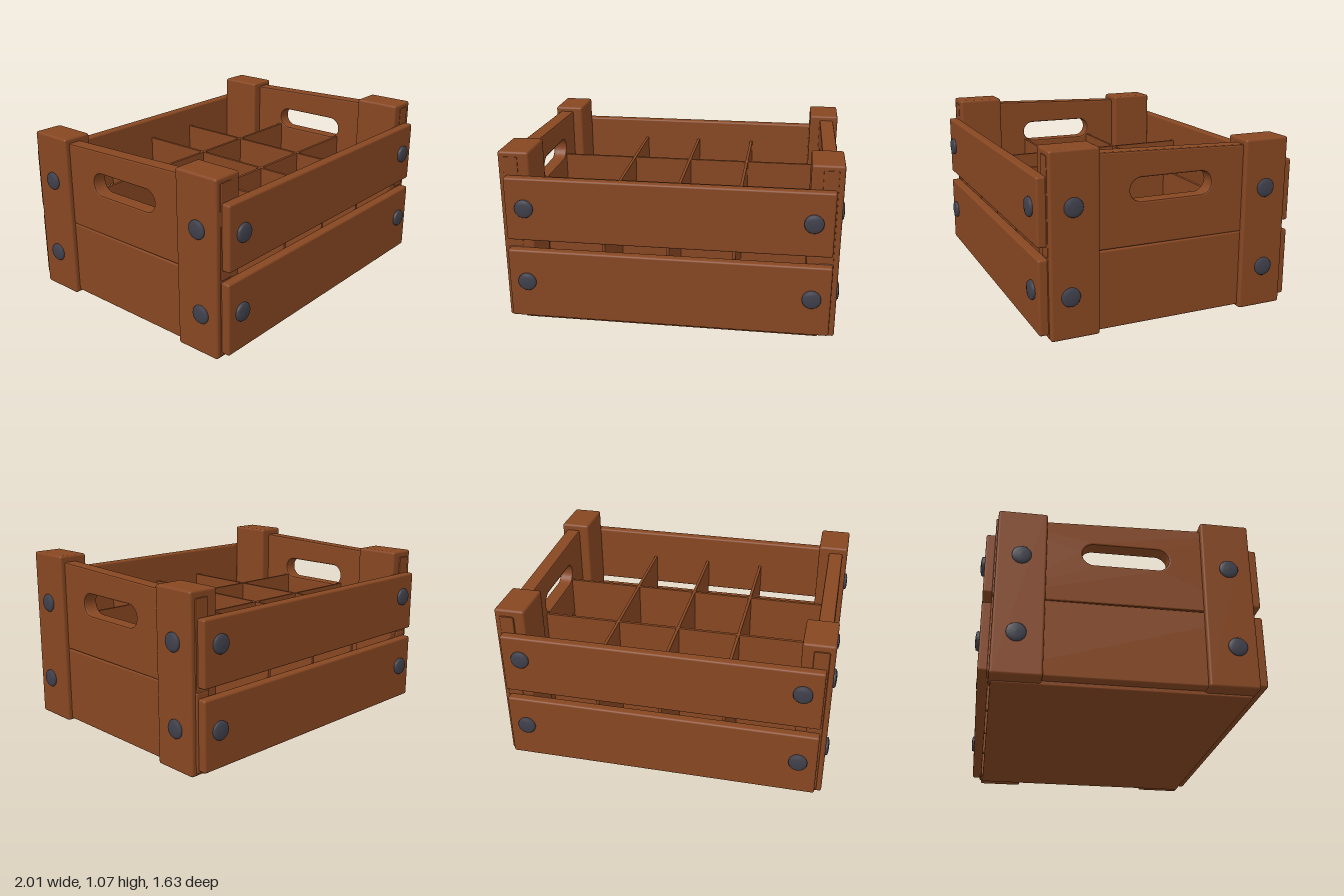
import * as THREE from 'three';
import { RoundedBoxGeometry } from 'three/addons/geometries/RoundedBoxGeometry.js';

export function createModel() {
  const crate = new THREE.Group();
  crate.name = 'crate';

  const wood = new THREE.MeshStandardMaterial({ color: 0x874722 });
  wood.name = 'brown wood';
  const metal = new THREE.MeshStandardMaterial({ color: 0x40404c });
  metal.name = 'dark metal';

  const add = (name, geometry, material = wood) => {
    const mesh = new THREE.Mesh(geometry, material);
    mesh.name = name;
    crate.add(mesh);
    return mesh;
  };

  // Softly bevelled board given by its extents on each axis
  const board = (name, [x0, x1], [y0, y1], [z0, z1], radius = 0.012) =>
    add(name, new RoundedBoxGeometry(x1 - x0, y1 - y0, z1 - z0, 2, radius))
      .position.set((x0 + x1) / 2, (y0 + y1) / 2, (z0 + z1) / 2);

  // Floor
  board('floor', [-0.89, 0.89], [0, 0.05], [-0.72, 0.72], 0.008);

  // Front and back planks; the back pair sits a little lower
  board('frontLowerPlank', [-0.95, 0.95], [0.045, 0.48], [0.73, 0.79]);
  board('frontUpperPlank', [-0.945, 0.945], [0.545, 0.93], [0.73, 0.79]);
  board('backLowerPlank', [-0.945, 0.945], [0.04, 0.45], [-0.79, -0.73]);
  board('backUpperPlank', [-0.945, 0.945], [0.51, 0.885], [-0.79, -0.73]);

  // Upper side board with a sloping top and a rounded hand hole, drawn in z and y
  const bevel = 0.01;
  const outline = new THREE.Shape([
    [-0.74, 0.482], [0.74, 0.488], [0.74, 1.04], [-0.74, 0.99],
  ].map(([z, y]) => new THREE.Vector2(z, y)));
  const hole = new THREE.Path();
  const r = 0.067;
  hole.absarc(0.19, 0.805, r, -Math.PI / 2, Math.PI / 2, false);
  hole.absarc(-0.178, 0.803, r, Math.PI / 2, Math.PI * 1.5, false);
  hole.closePath();
  outline.holes.push(hole);
  const handleBoard = new THREE.ExtrudeGeometry(outline, {
    depth: 0.09 - 2 * bevel, bevelThickness: bevel, bevelSize: bevel,
    bevelOffset: -bevel, bevelSegments: 2, curveSegments: 12,
  });
  handleBoard.translate(0, 0, bevel - 0.045).rotateY(-Math.PI / 2);

  // Low domed bolt head pointing along +y
  const boltHead = new THREE.LatheGeometry([
    [0.055, -0.01], [0.055, 0.012], [0.05, 0.019], [0.03, 0.023], [0, 0.025],
  ].map(([x, y]) => new THREE.Vector2(x, y)), 20);

  for (const [side, s] of [['left', 1], ['right', -1]]) {
    const span = (a, b) => (s > 0 ? [a, b] : [-b, -a]);

    // Side wall
    add(side + 'HandleBoard', handleBoard).position.x = s * 0.91;
    board(side + 'LowerSideBoard', span(0.865, 0.955), [0.025, 0.484], [-0.74, 0.74], 0.01);

    // Corner posts
    board(side + 'FrontPost', span(0.8, 0.985), [0.015, 1.07], [0.448, 0.735], 0.014);
    board(side + 'BackPost', span(0.8, 0.985), [0.01, 1.03], [-0.73, -0.45], 0.014);

    // Bolts through the posts
    for (const [z, y] of [[0.6, 0.76], [0.62, 0.262], [-0.59, 0.74], [-0.6, 0.257]]) {
      const bolt = add(side + 'SideBolt', boltHead, metal);
      bolt.position.set(s * 0.979, y, z);
      bolt.rotation.z = -s * Math.PI / 2;
    }

    // Bolts through the front and back planks
    for (const [x, y, f] of [[0.83, 0.747, 1], [0.84, 0.28, 1], [0.83, 0.74, -1], [0.835, 0.262, -1]]) {
      const bolt = add(side + (f > 0 ? 'FrontBolt' : 'BackBolt'), boltHead, metal);
      bolt.position.set(s * x, y, f * 0.788);
      bolt.rotation.x = f * Math.PI / 2;
    }
  }

  // Thin dividers making a four by three grid of cells
  const divider = (name, w, d, x, z) =>
    add(name, new THREE.BoxGeometry(w, 0.71, d)).position.set(x, 0.395, z);
  for (const x of [-0.382, 0, 0.388]) divider('lengthDivider', 0.018, 1.46, x, 0);
  for (const z of [-0.247, 0.246]) divider('crossDivider', 1.74, 0.018, 0, z);

  return crate;
}
